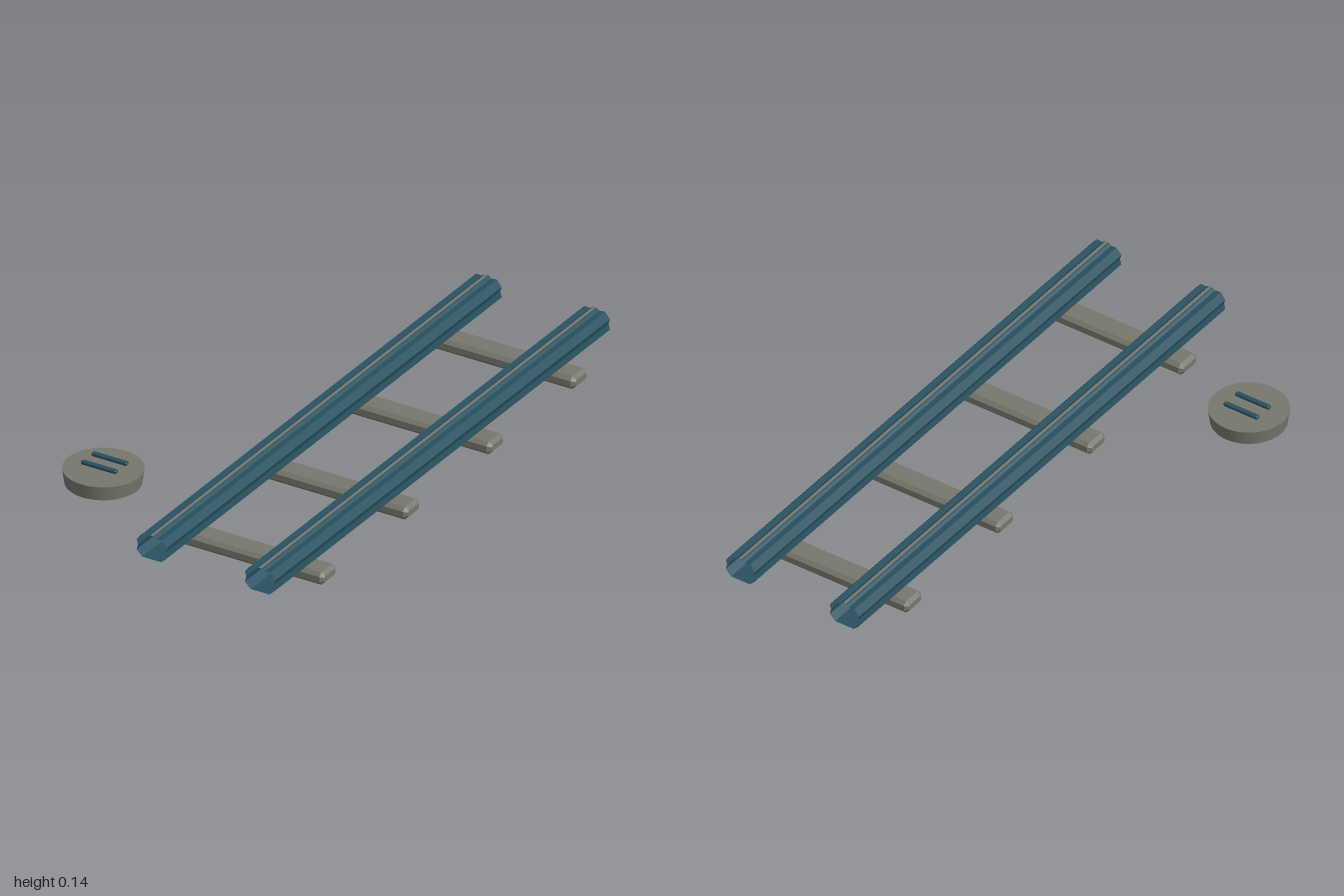
import * as THREE from 'three';

const stone = new THREE.MeshStandardMaterial({ color: 0x77776d, flatShading: true });
stone.name = 'warmGrey';
const steel = new THREE.MeshStandardMaterial({ color: 0x28515f, flatShading: true, side: THREE.DoubleSide });
steel.name = 'darkTeal';

// Bar along x with all edges chamfered
function chamferedBar(length, height, depth, c) {
  const w = depth / 2, h = height / 2;
  const shape = new THREE.Shape([
    [-w + c, -h], [w - c, -h], [w, -h + c], [w, h - c],
    [w - c, h], [-w + c, h], [-w, h - c], [-w, -h + c],
  ].map(([x, y]) => new THREE.Vector2(x, y)));
  const geo = new THREE.ExtrudeGeometry(shape, {
    depth: length - 2 * c, bevelEnabled: true, bevelSegments: 1,
    bevelSize: c, bevelOffset: -c, bevelThickness: c,
  });
  geo.translate(0, 0, -(length - 2 * c) / 2);
  return geo.rotateY(Math.PI / 2);
}

// Hollow, open-ended profile running along z
function openTube(profile, length) {
  const pos = [];
  profile.forEach(([ax, ay], i) => {
    const [bx, by] = profile[(i + 1) % profile.length];
    const f = length / 2, b = -f;
    pos.push(ax, ay, f, bx, by, b, bx, by, f, ax, ay, f, ax, ay, b, bx, by, b);
  });
  const geo = new THREE.BufferGeometry();
  geo.setAttribute('position', new THREE.Float32BufferAttribute(pos, 3));
  // winding must face outward for a counter-clockwise profile
  for (let i = 0; i < pos.length; i += 9) {
    for (let k = 0; k < 3; k++) {
      const t = pos[i + 3 + k];
      pos[i + 3 + k] = pos[i + 6 + k];
      pos[i + 6 + k] = t;
    }
  }
  geo.setAttribute('position', new THREE.Float32BufferAttribute(pos, 3));
  geo.computeVertexNormals();
  return geo;
}

export function createModel() {
  const group = new THREE.Group();
  const add = (name, geo, mat, x, y, z) => {
    const mesh = new THREE.Mesh(geo, mat);
    mesh.name = name;
    mesh.position.set(x, y, z);
    group.add(mesh);
    return mesh;
  };

  // Sleepers
  const sleeper = chamferedBar(0.6, 0.045, 0.09, 0.012);
  [-0.75, -0.25, 0.25, 0.75].forEach((z) => add('sleeper', sleeper, stone, 0.225, 0.0225, z));

  // Rails: ribbed hollow profile with a worn strip on top
  const half = [[0.035, 0.05], [0.056, 0.07], [0.051, 0.09], [0.056, 0.107], [0.038, 0.129], [0.017, 0.127], [0.009, 0.134]];
  const profile = [...half, ...half.map(([x, y]) => [-x, y]).reverse()];
  const rail = openTube(profile, 2);
  const strip = new THREE.BoxGeometry(0.01, 0.002, 2);
  [0.021, 0.421].forEach((x) => {
    add('rail', rail, steel, x, 0, 0);
    add('railTopStrip', strip, stone, x, 0.1345, 0);
  });

  // Round button with two floating bars
  const disc = new THREE.CylinderGeometry(0.13, 0.123, 0.05, 40);
  const discMat = stone.clone();
  discMat.flatShading = false;
  add('buttonDisc', disc, discMat, -0.395, 0.055, 0.617);
  const bar = chamferedBar(0.13, 0.013, 0.017, 0.003);
  [0.577, 0.64].forEach((z) => add('buttonBar', bar, steel, -0.395, 0.0935, z));

  return group;
}
